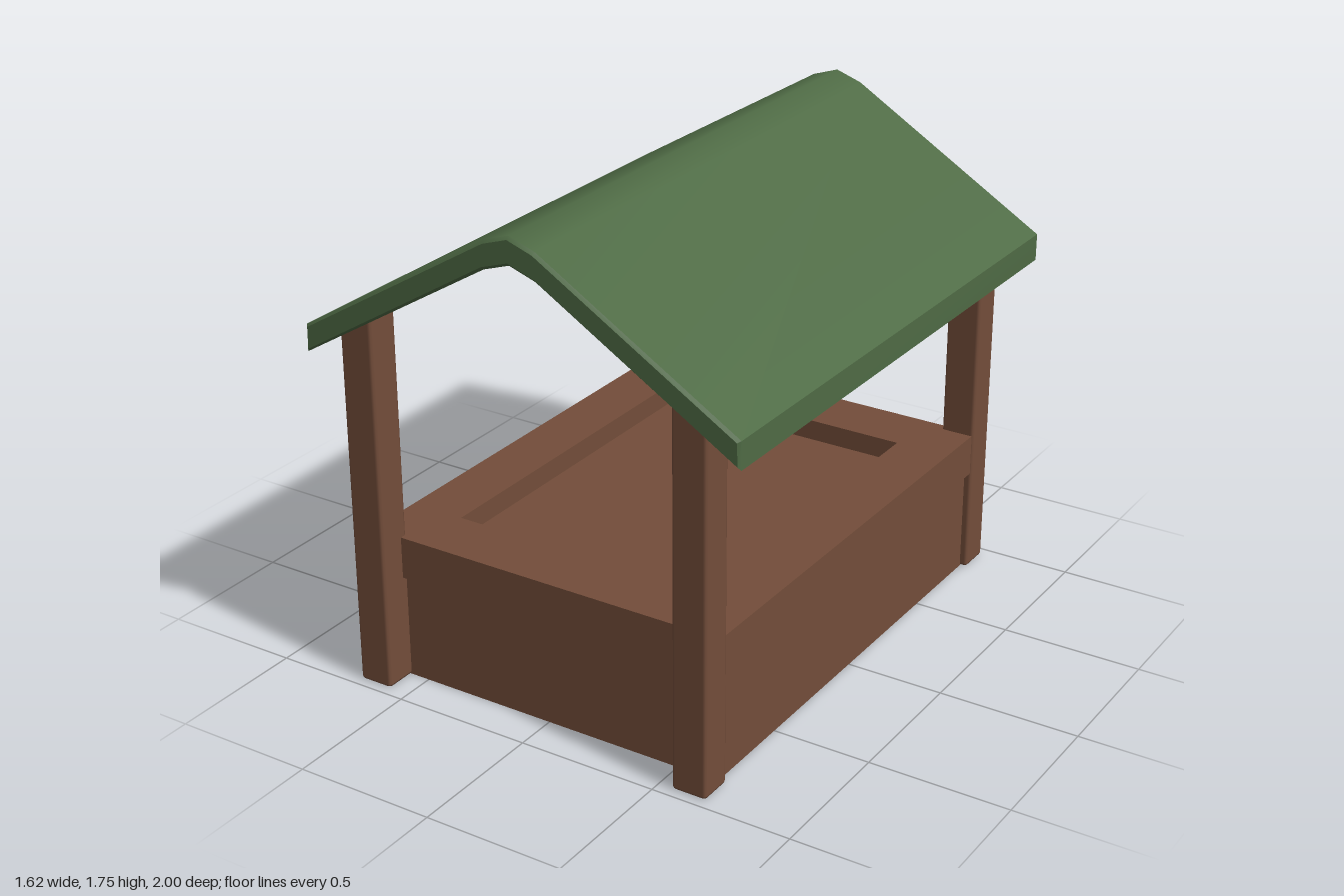
import * as THREE from 'three';
import { toCreasedNormals } from 'three/addons/utils/BufferGeometryUtils.js';
import { RoundedBoxGeometry } from 'three/addons/geometries/RoundedBoxGeometry.js';

const wood = new THREE.MeshStandardMaterial({ color: 0x734d3a });
const green = new THREE.MeshStandardMaterial({ color: 0x4f6b45 });
const CX = -0.01; // the frame sits slightly off the roof's centre line

function add(parent, name, geometry, material, x = 0, y = 0, z = 0) {
  const mesh = new THREE.Mesh(geometry, material);
  mesh.name = name;
  mesh.position.set(x, y, z);
  parent.add(mesh);
  return mesh;
}

function rectangle(PathType, hx, hz) {
  const p = new PathType();
  p.moveTo(-hx, -hz).lineTo(hx, -hz).lineTo(hx, hz).lineTo(-hx, hz).closePath();
  return p;
}

// Bent slab with chamfered ends, extruded along z
function roofGeometry() {
  const top = [[-0.81, 1.285], [-0.095, 1.716], [0, 1.748], [0.095, 1.716], [0.81, 1.285]];
  const under = [[0.81, 1.19], [0.095, 1.621], [0, 1.653], [-0.095, 1.621], [-0.81, 1.19]];
  const shape = new THREE.Shape([...top, ...under].reverse().map(([x, y]) => new THREE.Vector2(x, y)));
  const b = 0.01;
  const geometry = new THREE.ExtrudeGeometry(shape, {
    depth: 2 - 2 * b, bevelThickness: b, bevelSize: b, bevelOffset: -b, bevelSegments: 1,
  });
  geometry.translate(0, 0, -1 + b);
  return toCreasedNormals(geometry, 0.65);
}

export function createModel() {
  const model = new THREE.Group();
  model.name = 'roofedBox';

  // Four corner posts, their tops hidden in the roof
  const postHeight = 1.345;
  const postGeometry = new RoundedBoxGeometry(0.125, postHeight, 0.125, 1, 0.012);
  for (const sx of [-1, 1]) {
    for (const sz of [-1, 1]) {
      const name = (sz > 0 ? 'front' : 'back') + (sx > 0 ? 'Left' : 'Right') + 'Post';
      add(model, name, postGeometry, wood, CX + sx * 0.624, postHeight / 2, sz * 0.903);
    }
  }

  // Box body, overhanging rim and the raised floor inside the rim
  add(model, 'boxBody', new THREE.BoxGeometry(1.32, 0.4, 1.7), wood, CX, 0.2, 0);
  add(model, 'innerFloor', new THREE.BoxGeometry(1.1, 0.075, 1.45), wood, CX, 0.4175, 0);

  const rimShape = rectangle(THREE.Shape, 0.68, 0.87);
  rimShape.holes.push(rectangle(THREE.Path, 0.48, 0.65));
  const rimGeometry = new THREE.ExtrudeGeometry(rimShape, { depth: 0.15, bevelEnabled: false });
  rimGeometry.rotateX(-Math.PI / 2);
  add(model, 'rim', rimGeometry, wood, CX, 0.38, 0);

  // Gable roof
  add(model, 'roof', roofGeometry(), green);

  return model;
}
